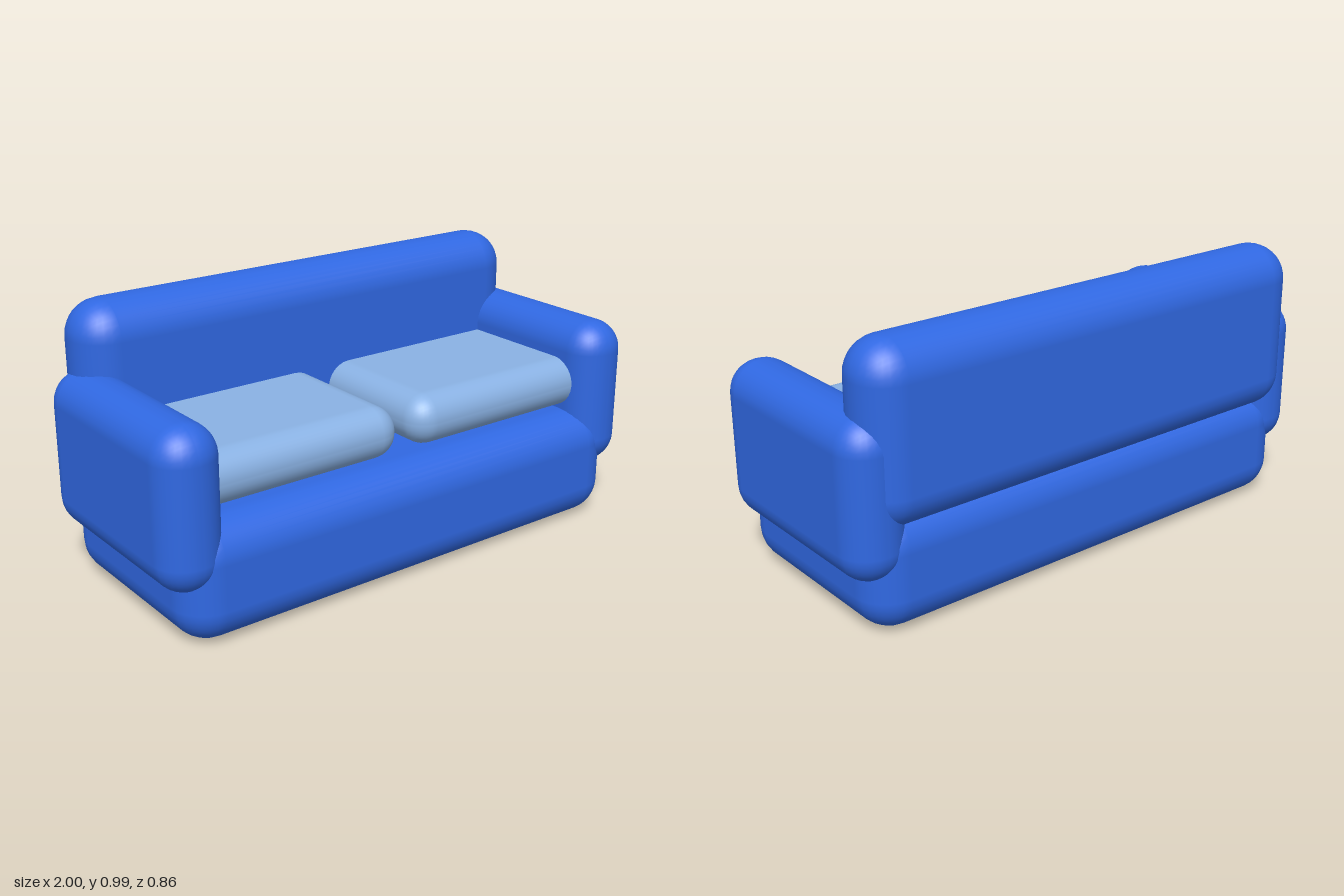
import * as THREE from 'three';
import { RoundedBoxGeometry } from 'three/addons/geometries/RoundedBoxGeometry.js';

export function createModel() {
  const sofa = new THREE.Group();
  sofa.name = 'sofa';

  const blueFabric = new THREE.MeshStandardMaterial({ color: 0x3068e2 });
  blueFabric.name = 'blueFabric';
  const paleBlueFabric = new THREE.MeshStandardMaterial({ color: 0x8ab2e4 });
  paleBlueFabric.name = 'paleBlueFabric';

  // Soft block given by its extents along each axis
  function block(name, material, [x0, x1], [y0, y1], [z0, z1], radius) {
    const geometry = new RoundedBoxGeometry(x1 - x0, y1 - y0, z1 - z0, 4, radius);
    const mesh = new THREE.Mesh(geometry, material);
    mesh.name = name;
    mesh.position.set((x0 + x1) / 2, (y0 + y1) / 2, (z0 + z1) / 2);
    sofa.add(mesh);
  }

  // Base and backrest
  block('base', blueFabric, [-0.935, 0.935], [0, 0.42], [-0.4, 0.43], 0.13);
  block('backrest', blueFabric, [-0.935, 0.935], [0.365, 0.99], [-0.43, -0.17], 0.128);

  // Armrests and seat cushions, one on each side
  for (const [side, s] of [['left', 1], ['right', -1]]) {
    const span = (a, b) => (s > 0 ? [a, b] : [-b, -a]);
    block(side + 'Armrest', blueFabric, span(0.77, 1), [0.195, 0.756], [-0.4, 0.43], 0.112);
    block(side + 'SeatCushion', paleBlueFabric, span(0.03, 0.88), [0.43, 0.617], [-0.28, 0.35], 0.09);
  }

  return sofa;
}
